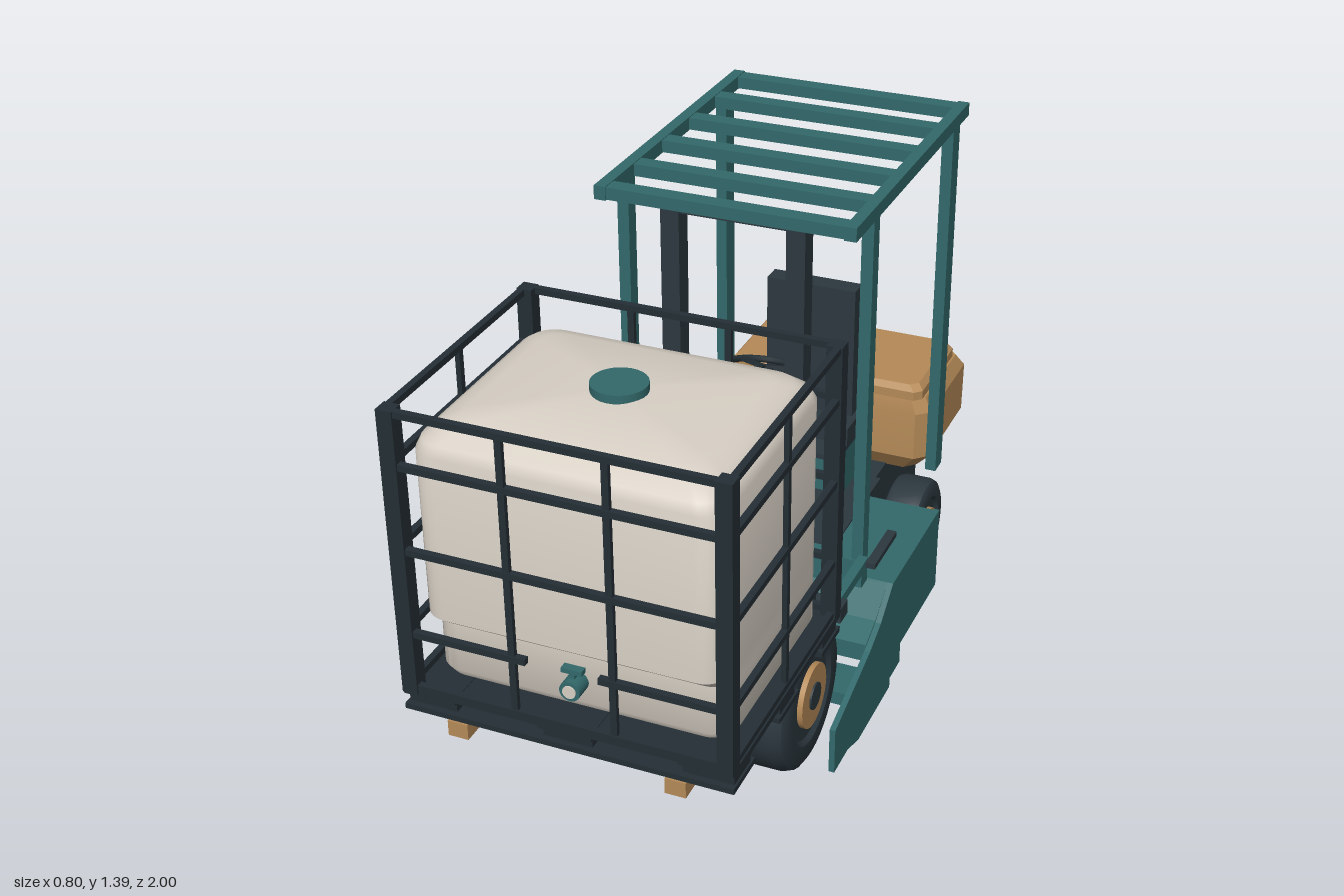
import * as THREE from 'three';
import { toCreasedNormals } from 'three/addons/utils/BufferGeometryUtils.js';

const mat = (name, color) => Object.assign(new THREE.MeshStandardMaterial({ color }), { name });

export function createModel() {
  const model = new THREE.Group();
  model.name = 'forkliftWithTank';
  const teal = mat('teal paint', 0x33696b);
  const dark = mat('dark steel', 0x2c383f);
  const black = mat('cage steel', 0x242f35);
  const tan = mat('ochre paint', 0xb58a58);
  const cream = mat('cream plastic', 0xd8d0c5);

  const add = (name, geo, m) => {
    const mesh = new THREE.Mesh(geo, m);
    mesh.name = name;
    model.add(mesh);
    return mesh;
  };
  // Box given by its minimum and maximum on each axis
  const box = (name, m, x0, x1, y0, y1, z0, z1) =>
    add(name, new THREE.BoxGeometry(x1 - x0, y1 - y0, z1 - z0)
      .translate((x0 + x1) / 2, (y0 + y1) / 2, (z0 + z1) / 2), m);
  const pair = (name, m, x0, x1, ...r) => {
    box(name + 'Left', m, x0, x1, ...r);
    box(name + 'Right', m, -x1, -x0, ...r);
  };
  // Side profile [z, y] extruded across x
  const profile = (name, m, pts, x0, x1) => {
    const s = new THREE.Shape(pts.map(p => new THREE.Vector2(...p)));
    const g = new THREE.ExtrudeGeometry(s, { depth: x1 - x0, bevelEnabled: false });
    return add(name, g.rotateY(-Math.PI / 2).translate(x1, 0, 0), m);
  };
  // Solid lofted through rounded rectangles [y, halfWidth, zBack, zFront, radius]
  const loft = (levels, seg, topY, crease) => {
    const pos = [], idx = [], n = 4 * (seg + 1);
    for (const [y, hx, zb, zf, r] of levels) {
      for (let c = 0; c < 4; c++) for (let i = 0; i <= seg; i++) {
        const a = (c + i / seg) * Math.PI / 2;
        const cx = c === 0 || c === 3 ? hx - r : r - hx;
        const cz = c < 2 ? zb + r : zf - r;
        pos.push(cx + r * Math.cos(a), y, cz - r * Math.sin(a));
      }
    }
    const L = levels.length, first = levels[0], last = levels[L - 1];
    pos.push(0, first[0], (first[2] + first[3]) / 2, 0, topY, (last[2] + last[3]) / 2);
    for (let i = 0; i < n; i++) {
      const j = (i + 1) % n;
      for (let k = 0; k < L - 1; k++) {
        const a = k * n + i, b = k * n + j;
        idx.push(a, b, b + n, a, b + n, a + n);
      }
      idx.push(L * n, j, i, L * n + 1, (L - 1) * n + i, (L - 1) * n + j);
    }
    const g = new THREE.BufferGeometry();
    g.setAttribute('position', new THREE.Float32BufferAttribute(pos, 3));
    g.setIndex(idx);
    return toCreasedNormals(g, crease);
  };

  // Wheels: bevelled tyre, ochre hub disc, dark centre
  const wheel = (name, side, x0, x1, y, z, r, hub) => {
    const w = (x1 - x0) / 2, b = r * 0.13;
    const pts = [[0, -w + 0.01], [r * 0.6, -w + 0.01], [r * 0.66, -w], [r - b, -w], [r - b * 0.3, -w + b * 0.4], [r, -w + b * 1.2],
      [r, w - b * 1.2], [r - b * 0.3, w - b * 0.4], [r - b, w], [r * 0.66, w], [r * 0.6, w - 0.01], [0, w - 0.01]];
    const place = g => g.rotateZ(-side * Math.PI / 2).translate(side * (x0 + x1) / 2, y, z);
    const tyre = new THREE.LatheGeometry(pts.map(p => new THREE.Vector2(...p)), 36);
    add(name + 'Tyre', place(toCreasedNormals(tyre, 0.6)), dark);
    add(name + 'Hub', place(new THREE.CylinderGeometry(hub, hub, 0.02, 28).translate(0, w - 0.006, 0)), tan);
    add(name + 'HubCentre', place(new THREE.CylinderGeometry(hub * 0.42, hub * 0.42, 0.02, 20).translate(0, w - 0.001, 0)), dark);
  };
  for (const s of [-1, 1]) {
    wheel('frontWheel', s, 0.155, 0.31, 0.205, 0.268, 0.2, 0.085);
    wheel('rearWheel', s, 0.2, 0.31, 0.152, -0.665, 0.143, 0.062);
  }
  const axle = (name, r, half, y, z) =>
    add(name, new THREE.CylinderGeometry(r, r, half * 2, 16).rotateZ(Math.PI / 2).translate(0, y, z), dark);
  axle('frontAxle', 0.04, 0.17, 0.205, 0.268);
  axle('rearAxle', 0.035, 0.21, 0.152, -0.665);

  // Chassis, deck and side skirts
  box('driveHousing', dark, -0.145, 0.145, 0.03, 0.285, 0.0, 0.36);
  box('rearChassis', dark, -0.18, 0.18, 0.11, 0.345, -0.945, -0.44);
  box('floorPlate', dark, -0.2, 0.2, 0.345, 0.357, -0.55, -0.06);
  profile('deck', teal, [[-0.455, 0.21], [0.09, 0.21], [0.09, 0.26], [0.02, 0.29], [-0.07, 0.352], [-0.455, 0.352]], -0.385, 0.385);
  const skirt = [[0.35, 0.05], [0.35, 0.178], [0.1, 0.25], [0.02, 0.285], [-0.07, 0.352], [-0.46, 0.352],
    [-0.46, 0.11], [-0.155, 0.11], [-0.155, 0.05], [-0.075, 0.05], [-0.075, 0.022], [0.17, 0.022], [0.25, 0.05]];
  profile('sideSkirtLeft', teal, skirt, 0.385, 0.4);
  profile('sideSkirtRight', teal, skirt, -0.4, -0.385);
  box('lowerCrossPlate', teal, -0.385, 0.385, 0.022, 0.06, -0.075, 0.05);
  box('dashPanel', teal, -0.33, 0.33, 0.352, 0.43, -0.06, -0.02);
  pair('sideRail', teal, 0.325, 0.35, 0.43, 0.457, -0.01, 0.42);
  pair('sideLever', dark, 0.35, 0.375, 0.437, 0.452, -0.16, 0.01);

  // Counterweight with bevelled edges and a top lid
  add('counterweight', loft([[0.34, 0.26, -0.96, -0.66, 0.03], [0.395, 0.305, -0.995, -0.622, 0.035],
    [0.535, 0.305, -1, -0.622, 0.035], [0.575, 0.285, -0.97, -0.63, 0.03]], 1, 0.575, 0.2), tan);
  add('counterweightLid', loft([[0.575, 0.28, -0.945, -0.628, 0.02], [0.6, 0.28, -0.945, -0.628, 0.02],
    [0.617, 0.265, -0.93, -0.64, 0.02]], 1, 0.617, 0.2), tan);

  // Overhead guard
  pair('guardFrontPost', teal, 0.3, 0.33, 0.35, 1.37, -0.065, -0.025);
  pair('guardRearPost', teal, 0.3, 0.33, 0.36, 1.37, -0.695, -0.64);
  pair('guardRoofRail', teal, 0.3, 0.33, 1.365, 1.4, -0.77, 0.1);
  for (const z of [-0.745, -0.585, -0.417, -0.25, -0.083, 0.075])
    box('guardSlat', teal, -0.3, 0.3, 1.367, 1.398, z - 0.022, z + 0.022);

  // Mast, carriage and forks
  pair('mastPost', dark, 0.137, 0.185, 0.08, 1.36, -0.01, 0.042);
  box('mastTopBar', dark, -0.137, 0.137, 1.335, 1.36, -0.005, 0.037);
  box('mastMiddleBar', dark, -0.19, 0.19, 0.46, 0.58, 0.03, 0.052);
  box('mastLowerBar', dark, -0.137, 0.137, 0.3, 0.36, 0.0, 0.04);
  box('carriageLowerBar', dark, -0.37, 0.37, 0.425, 0.465, 0.2, 0.25);
  box('carriageUpperBar', dark, -0.3, 0.3, 0.465, 0.5, 0.235, 0.255);
  pair('carriageArm', dark, 0.14, 0.18, 0.425, 0.465, 0.03, 0.22);
  pair('forkBlade', tan, 0.24, 0.29, 0.43, 0.47, 0.25, 1.0);
  pair('forkShank', tan, 0.24, 0.29, 0.43, 0.67, 0.255, 0.27);

  // Seat
  box('seatPedestal', teal, -0.13, 0.13, 0.352, 0.512, -0.535, -0.43);
  box('seatCushion', dark, -0.14, 0.14, 0.512, 0.562, -0.54, -0.43);
  box('seatFrontLip', dark, -0.14, 0.14, 0.5, 0.515, -0.54, -0.355);
  box('seatBack', dark, -0.125, 0.125, 0.56, 0.935, -0.56, -0.505);

  // Steering pedestal, column and wheel
  box('steeringPedestal', teal, -0.04, 0.04, 0.352, 0.5, -0.095, -0.06);
  const steering = new THREE.Group();
  steering.name = 'steering';
  steering.position.set(0, 0.855, -0.165);
  steering.rotation.x = -0.29;
  const column = new THREE.Mesh(new THREE.CylinderGeometry(0.024, 0.024, 0.37, 16).translate(0, -0.185, 0), dark);
  column.name = 'steeringColumn';
  const rim = new THREE.Mesh(new THREE.TorusGeometry(0.09, 0.009, 8, 32).rotateX(Math.PI / 2), black);
  rim.name = 'steeringRim';
  steering.add(column, rim);
  for (let i = 0; i < 3; i++) {
    const spoke = new THREE.Mesh(new THREE.BoxGeometry(0.09, 0.01, 0.014).translate(0.045, 0, 0).rotateY(i * Math.PI * 2 / 3 - Math.PI / 2), black);
    spoke.name = 'steeringSpoke';
    steering.add(spoke);
  }
  model.add(steering);

  // Pallet: runners, blocks and base frame
  for (const z of [0.4, 0.67, 0.935]) {
    box('palletRunner', black, -0.4, 0.4, 0.47, 0.484, z - 0.06, z + 0.06);
    for (const x of [-0.335, 0, 0.335]) box('palletBlock', black, x - 0.06, x + 0.06, 0.484, 0.515, z - 0.045, z + 0.045);
  }
  for (const x of [-0.335, 0, 0.335]) box('palletBoard', black, x - 0.065, x + 0.065, 0.512, 0.528, 0.34, 0.995);
  for (const z of [0.4, 0.67, 0.935]) box('palletCrossBoard', black, -0.39, 0.39, 0.51, 0.526, z - 0.04, z + 0.04);

  // Cage: corner posts, horizontal hoops and upright bars
  pair('cageFrontPost', black, 0.362, 0.4, 0.52, 1.24, 0.962, 1.0);
  pair('cageRearPost', black, 0.362, 0.4, 0.52, 1.24, 0.337, 0.375);
  for (const [y, h] of [[0.532, 0.012], [0.68, 0.008], [0.895, 0.008], [1.105, 0.008], [1.232, 0.008]]) {
    pair('cageSideBar', black, 0.38, 0.396, y - h, y + h, 0.35, 0.985);
    box('cageRearBar', black, -0.38, 0.38, y - h, y + h, 0.341, 0.357);
    if (y === 0.68) pair('cageFrontHalfBar', black, 0.087, 0.38, y - h, y + h, 0.98, 0.996);
    else box('cageFrontBar', black, -0.38, 0.38, y - h, y + h, 0.98, 0.996);
  }
  for (const [z0, z1] of [[0.343, 0.355], [0.982, 0.994]])
    pair('cageUpright', black, 0.112, 0.128, 0.53, 1.235, z0, z1);
  pair('cageSideUpright', black, 0.382, 0.394, 0.53, 1.235, 0.662, 0.678);

  // Tank with a recessed lower front and a shallow domed top
  add('tank', loft([[0.53, 0.345, 0.385, 0.905, 0.05], [0.55, 0.36, 0.372, 0.917, 0.06], [0.675, 0.36, 0.372, 0.917, 0.06],
    [0.715, 0.36, 0.372, 0.965, 0.06], [1.125, 0.36, 0.372, 0.965, 0.06], [1.15, 0.35, 0.382, 0.955, 0.06],
    [1.175, 0.32, 0.41, 0.925, 0.06], [1.188, 0.28, 0.45, 0.885, 0.05]], 6, 1.207, 0.65), cream);
  add('tankCap', new THREE.CylinderGeometry(0.065, 0.065, 0.03, 28).translate(0, 1.207, 0.667), teal);

  // Drain tap
  add('tapBody', new THREE.CylinderGeometry(0.025, 0.025, 0.05, 20).rotateX(Math.PI / 2).translate(0, 0.605, 0.937), teal);
  add('tapSpout', new THREE.CylinderGeometry(0.016, 0.016, 0.008, 20).rotateX(Math.PI / 2).translate(0, 0.605, 0.962), cream);
  box('tapStem', teal, -0.006, 0.006, 0.625, 0.645, 0.934, 0.946);
  box('tapHandle', teal, -0.025, 0.025, 0.643, 0.655, 0.93, 0.95);

  return model;
}
